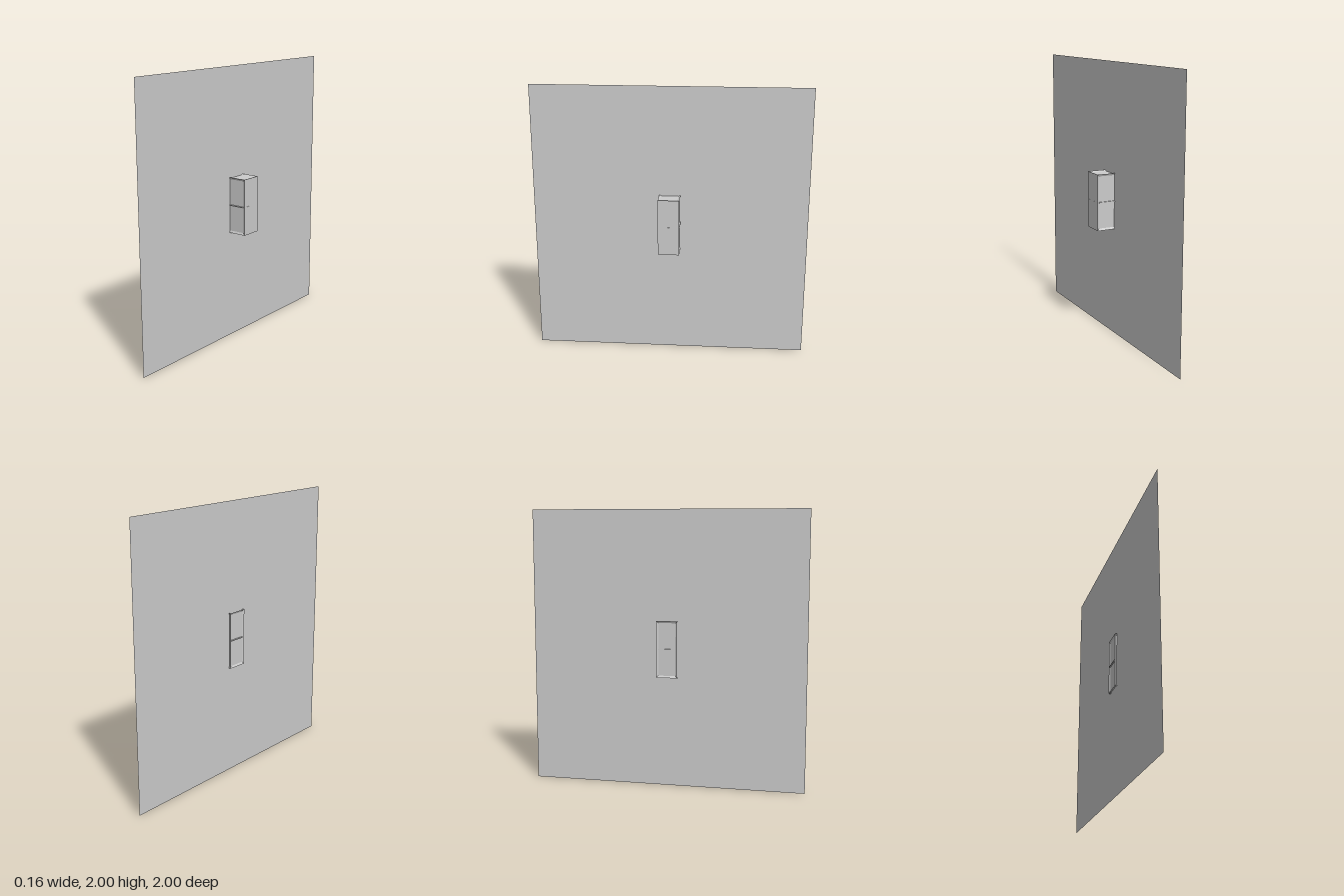
import * as THREE from 'three';

const material = new THREE.MeshStandardMaterial({ color: 0xcccccc, flatShading: true, side: THREE.DoubleSide });

function add(group, name, geometry, x, y, z) {
  const mesh = new THREE.Mesh(geometry, material);
  mesh.name = name;
  mesh.position.set(x, y, z);
  group.add(mesh);
}

// Box whose faces (except the flat +x one) sink in behind a mitred sloping border
function recessedBox(size, border, depth) {
  const geometry = new THREE.BoxGeometry(...size, 3, 3, 3);
  const pos = geometry.attributes.position;
  const normal = geometry.attributes.normal;
  for (let i = 0; i < pos.count; i++) {
    const p = [pos.getX(i), pos.getY(i), pos.getZ(i)];
    const n = [normal.getX(i), normal.getY(i), normal.getZ(i)];
    const axis = n.findIndex((v) => Math.abs(v) > 0.5);
    const across = [0, 1, 2].filter((a) => a !== axis);
    const inner = across.every((a) => Math.abs(p[a]) < size[a] * 0.4);
    for (const a of across) {
      p[a] = Math.sign(p[a]) * (size[a] / 2 - (inner ? border : 0));
    }
    if (inner && n[0] < 0.5) p[axis] -= n[axis] * depth;
    pos.setXYZ(i, ...p);
  }
  const flat = geometry.toNonIndexed();
  flat.computeVertexNormals();
  return flat;
}

export function createModel() {
  const model = new THREE.Group();
  model.name = 'wallBox';

  // Thin square wall, with the box set through its middle
  const wall = new THREE.PlaneGeometry(2, 2).rotateY(Math.PI / 2);
  add(model, 'wall', wall, -0.061, 1, 0);
  add(model, 'box', recessedBox([0.154, 0.412, 0.154], 0.015, 0.008), 0, 1.004, 0);

  // Thin divider around the middle of the box
  add(model, 'dividerFrontBack', new THREE.BoxGeometry(0.122, 0.007, 0.156), 0, 1.004, 0);
  add(model, 'dividerSides', new THREE.BoxGeometry(0.156, 0.007, 0.122), 0, 1.004, 0);

  return model;
}
